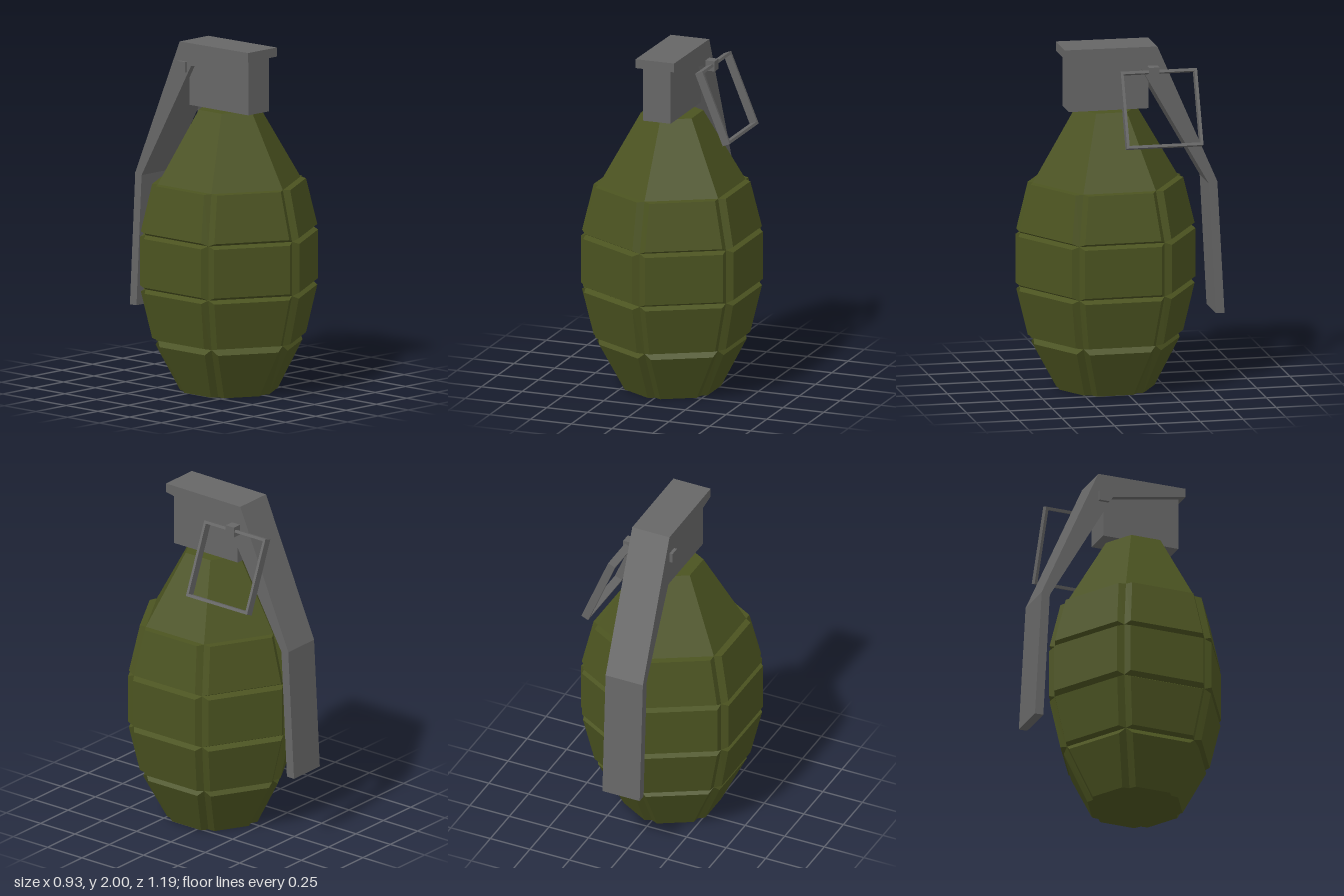
import * as THREE from 'three';

const green = new THREE.MeshStandardMaterial({ color: 0x4b5320, flatShading: true });
const grey = new THREE.MeshStandardMaterial({ color: 0x666666, flatShading: true });
const HEX = Math.tan(Math.PI / 6); // half side of a hexagon per unit of apothem

function part(name, geometry, material, parent) {
  const mesh = new THREE.Mesh(geometry, material);
  mesh.name = name;
  parent.add(mesh);
  return mesh;
}

// Six bevelled plates around the hexagonal body, meeting in V-shaped grooves.
// inner / outer: [bottom y, bottom apothem, top y, top apothem]
function plateRing(inner, outer) {
  const pos = [];
  const quad = (a, b, c, d) => pos.push(...a, ...b, ...c, ...a, ...c, ...d);
  for (let k = 0; k < 6; k++) {
    const c = Math.cos(k * Math.PI / 3), s = Math.sin(k * Math.PI / 3);
    const corners = ([y0, a0, y1, a1], inset) =>
      [[y0, a0, 1], [y0, a0, -1], [y1, a1, -1], [y1, a1, 1]].map(([y, a, side]) => {
        const t = side * (a * HEX - inset);
        return [c * a - s * t, y, s * a + c * t];
      });
    const i = corners(inner, 0), o = corners(outer, 0.045);
    quad(...o);
    for (let e = 0; e < 4; e++) quad(i[e], i[(e + 1) % 4], o[(e + 1) % 4], o[e]);
  }
  const geometry = new THREE.BufferGeometry();
  geometry.setAttribute('position', new THREE.Float32BufferAttribute(pos, 3));
  geometry.computeVertexNormals();
  return geometry;
}

export function createModel() {
  const model = new THREE.Group();
  model.name = 'handGrenade';

  // Segmented body
  const body = new THREE.Group();
  body.name = 'body';
  body.position.z = 0.077;
  model.add(body);
  const grooves = [[0, 0.225], [0.305, 0.365], [0.605, 0.43], [0.92, 0.43], [1.21, 0.367]];
  const faces = [
    [0, 0.26, 0.273, 0.387],
    [0.313, 0.405, 0.587, 0.463],
    [0.623, 0.467, 0.905, 0.467],
    [0.937, 0.463, 1.207, 0.405],
  ];
  faces.forEach((face, n) =>
    part(`plateRing${n + 1}`, plateRing([...grooves[n], ...grooves[n + 1]], face), green, body));

  // Tapering shoulder and base
  const shoulder = new THREE.CylinderGeometry(0.18, 0.367 / Math.cos(Math.PI / 6), 0.42, 6);
  part('shoulder', shoulder, green, body).position.y = 1.42;
  const base = new THREE.CircleGeometry(0.225 / Math.cos(Math.PI / 6), 6, Math.PI / 2);
  part('base', base.rotateX(Math.PI / 2), green, body);

  // Fuse housing
  part('fuseHousing', new THREE.BoxGeometry(0.17, 0.32, 0.465), grey, model).position.set(0, 1.79, 0.077);

  // Safety lever: side profile in (z, y), extruded across x
  const profile = new THREE.Shape([
    [0.34, 2], [0.34, 1.947], [-0.11, 1.865], [-0.5, 1.18],
    [-0.54, 0.42], [-0.592, 0.418], [-0.55, 1.19], [-0.2, 1.996],
  ].map(([z, y]) => new THREE.Vector2(z, y)));
  const lever = new THREE.ExtrudeGeometry(profile, { depth: 0.236, bevelEnabled: false });
  part('safetyLever', lever.translate(0, 0, -0.118).rotateY(-Math.PI / 2), grey, model);

  // Pin and tilted square pull ring
  part('pin', new THREE.BoxGeometry(0.312, 0.06, 0.06), grey, model).position.set(0.019, 1.856, -0.17);
  const square = h => [[-h, -h], [h, -h], [h, h], [-h, h]].map(([x, y]) => new THREE.Vector2(x, y));
  const frame = new THREE.Shape(square(0.223));
  frame.holes.push(new THREE.Path(square(0.207)));
  const ring = new THREE.ExtrudeGeometry(frame, { depth: 0.047, bevelEnabled: false });
  ring.translate(0, 0, -0.0235).rotateY(Math.PI / 2);
  const pullRing = part('pullRing', ring, grey, model);
  pullRing.position.set(0.227, 1.655, -0.198);
  pullRing.rotation.z = 0.39;

  return model;
}
